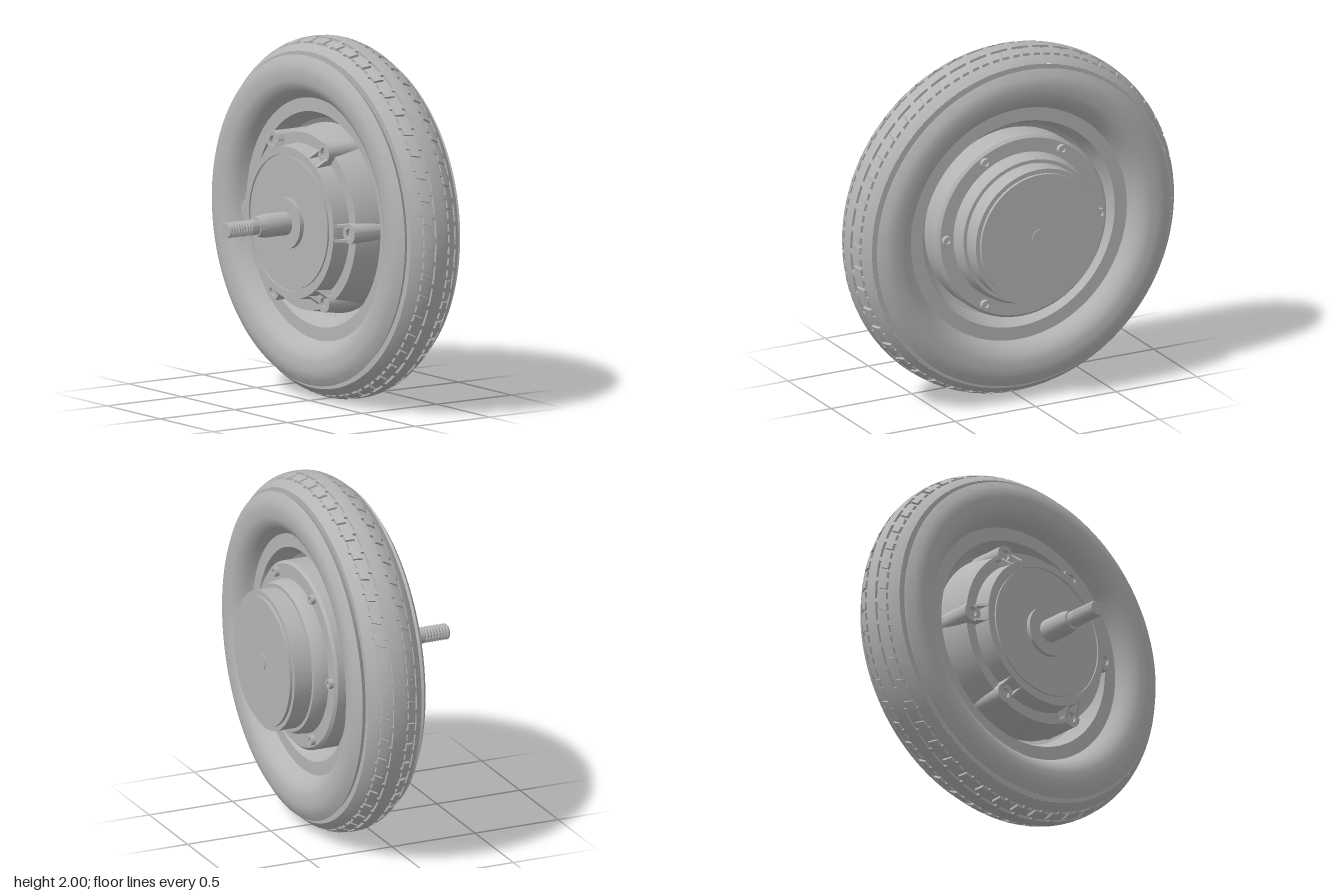
import * as THREE from 'three';
import { toCreasedNormals } from 'three/addons/utils/BufferGeometryUtils.js';

const MID = -0.18; // middle plane of the tyre
const grey = new THREE.MeshStandardMaterial({ color: 0xb4b4b4 });
grey.name = 'grey';

function part(name, geometry, parent) {
  const mesh = new THREE.Mesh(geometry, grey);
  mesh.name = name;
  parent.add(mesh);
  return mesh;
}

// Revolve [radius, z] points about the z axis
function turned(points, segments = 96) {
  const geo = new THREE.LatheGeometry(points.map(([r, z]) => new THREE.Vector2(r, z)), segments);
  return geo.rotateX(Math.PI / 2);
}
const crease = (geo, angle = 0.45) => toCreasedNormals(geo, angle);
const mirrored = (points) => points.map(([r, z]) => [r, 2 * MID - z]).reverse();

// Tread band with sunken I-shaped grooves, laid out as cells of angle by width
function treadGeometry() {
  const pitches = 48, depth = 0.015, columns = [0, 0.1, 0.42, 0.58, 0.9];
  const half = [0.035, 0.055, 0.075, 0.1, 0.115, 0.13, 0.145, 0.16];
  const rows = [...half.map((v) => -v).reverse(), 0, ...half];
  const pos = [];
  const angleAt = (i) => ((Math.floor(i / 5) + columns[i % 5]) / pitches) * Math.PI * 2;
  const point = (i, j, drop) => {
    const off = rows[j], u = Math.abs(off) / 0.16;
    const r = 1 - 0.07 * u ** 2.3 - drop;
    const a = angleAt(i) + off * 0.35;
    return [r * Math.cos(a), r * Math.sin(a), MID + off];
  };
  const deep = (i, j) => {
    if (j < 0 || j >= rows.length - 1) return false;
    const c = (i + 5) % 5, m = Math.abs(rows[j] + rows[j + 1]) / 2;
    const dash = (m > 0.035 && m < 0.055) || (m > 0.1 && m < 0.115);
    const bar = m > 0.055 && m < 0.1;
    return (dash && c >= 1 && c <= 3) || (bar && c === 2);
  };
  const quad = (a, b, c, d) => pos.push(...a, ...b, ...c, ...a, ...c, ...d);
  for (let i = 0; i < pitches * 5; i++) {
    for (let j = 0; j < rows.length - 1; j++) {
      const sunk = deep(i, j), drop = sunk ? depth : 0;
      const corners = [[i, j], [i + 1, j], [i + 1, j + 1], [i, j + 1]];
      quad(...corners.map(([p, q]) => point(p, q, drop)));
      if (!sunk) continue;
      // groove walls wherever the neighbour is not sunk
      [[i, j - 1], [i + 1, j], [i, j + 1], [i - 1, j]].forEach(([p, q], k) => {
        if (deep(p, q)) return;
        const A = corners[k], B = corners[(k + 1) % 4];
        quad(point(...A, depth), point(...A, 0), point(...B, 0), point(...B, depth));
      });
    }
  }
  const geo = new THREE.BufferGeometry();
  geo.setAttribute('position', new THREE.Float32BufferAttribute(pos, 3));
  return crease(geo, 0.5);
}

function buildTyre(root) {
  const tyre = new THREE.Group();
  tyre.name = 'tyre';
  root.add(tyre);
  part('tread', treadGeometry(), tyre);
  // shoulder lip, then the rounded sidewall
  const bulge = new THREE.SplineCurve([
    [0.87, 0.032], [0.84, 0.04], [0.8, 0.041], [0.75, 0.032], [0.705, 0], [0.67, -0.055],
  ].map(([r, z]) => new THREE.Vector2(r, z))).getPoints(20).map((p) => [p.x, p.y]);
  const side = [[0.93, -0.02], [0.895, -0.02], [0.912, 0.005], ...bulge];
  part('frontSidewall', crease(turned(side, 128)), tyre);
  part('backSidewall', crease(turned(mirrored(side), 128)), tyre);
}

function buildRim(root) {
  const side = [[0.68, -0.055], [0.595, -0.055], [0.55, -0.15], [0.52, -0.17]];
  part('frontRim', crease(turned(side)), root);
  part('backRim', crease(turned(mirrored(side))), root);
}

function buildHub(root) {
  part('motorHub', crease(turned([
    [0, -0.557], [0.05, -0.557], [0.05, -0.552], [0.365, -0.552], [0.365, -0.535], [0.39, -0.535],
    [0.39, -0.43], [0.41, -0.43], [0.425, -0.4], [0.43, -0.35], [0.51, -0.35], [0.525, -0.335],
    [0.525, -0.15], [0.492, 0.035], [0.43, 0.035], [0.42, 0.135],
    [0.38, 0.135], [0.38, 0.125], [0.365, 0.125], [0.365, 0.135], [0.14, 0.135], [0.14, 0.16], [0, 0.16],
  ])), root);
}

function buildFasteners(root) {
  // ring-shaped lug
  const ring = new THREE.Shape().absarc(0, 0, 0.055, 0, Math.PI * 2, false);
  ring.holes.push(new THREE.Path().absarc(0, 0, 0.028, 0, Math.PI * 2, true));
  const lugGeo = crease(new THREE.ExtrudeGeometry(ring, { depth: 0.22, bevelEnabled: false, curveSegments: 24 }));
  // sloping rib that ties the lug to the cover
  const rib = new THREE.Shape([[0.4, 0.03], [0.48, 0.03], [0.47, 0.075], [0.42, 0.13], [0.4, 0.13]]
    .map(([r, z]) => new THREE.Vector2(r, z)));
  const ribGeo = new THREE.ExtrudeGeometry(rib, { depth: 0.014, bevelEnabled: false });
  ribGeo.translate(0, 0, -0.007).rotateX(Math.PI / 2);
  const screwGeo = crease(turned([[0.03, 0], [0.03, 0.02], [0, 0.02]], 20));
  // socket-head screw with a sunken centre
  const headGeo = crease(turned([
    [0, -0.008], [0.014, -0.008], [0.014, -0.025], [0.028, -0.025], [0.028, 0.01],
  ], 20));
  for (let k = 0; k < 6; k++) {
    const mount = new THREE.Group();
    mount.name = 'coverMount';
    mount.rotation.z = (k * Math.PI) / 3;
    root.add(mount);
    part('lug', lugGeo, mount).position.set(0.48, 0, -0.145);
    part('frontScrew', screwGeo, mount).position.set(0.48, 0, 0.035);
    part('backScrew', headGeo, mount).position.set(0.475, 0, -0.35);
    for (const s of [-1, 1]) part('rib', ribGeo, mount).position.y = s * 0.042;
  }
}

function buildAxle(root) {
  part('axle', crease(turned([
    [0.065, 0.15], [0.065, 0.3], [0.055, 0.36], [0, 0.36],
  ], 40)), root);
  // threaded end with two flats
  const profile = [[0.047, 0.35], [0.047, 0.41]];
  for (let i = 0; i < 8; i++) {
    const z = 0.41 + i * 0.018;
    profile.push([0.041, z + 0.005], [0.048, z + 0.012], [0.048, z + 0.016]);
  }
  profile.push([0.042, 0.56], [0, 0.56]);
  const thread = turned(profile, 40);
  const p = thread.attributes.position;
  for (let i = 0; i < p.count; i++) p.setY(i, THREE.MathUtils.clamp(p.getY(i), -0.038, 0.038));
  part('threadedEnd', crease(thread), root);
}

export function createModel() {
  const model = new THREE.Group();
  model.name = 'hubMotorWheel';
  const wheel = new THREE.Group();
  wheel.name = 'wheel';
  wheel.position.y = 1;
  model.add(wheel);
  buildTyre(wheel);
  buildRim(wheel);
  buildHub(wheel);
  buildFasteners(wheel);
  buildAxle(wheel);
  return model;
}
